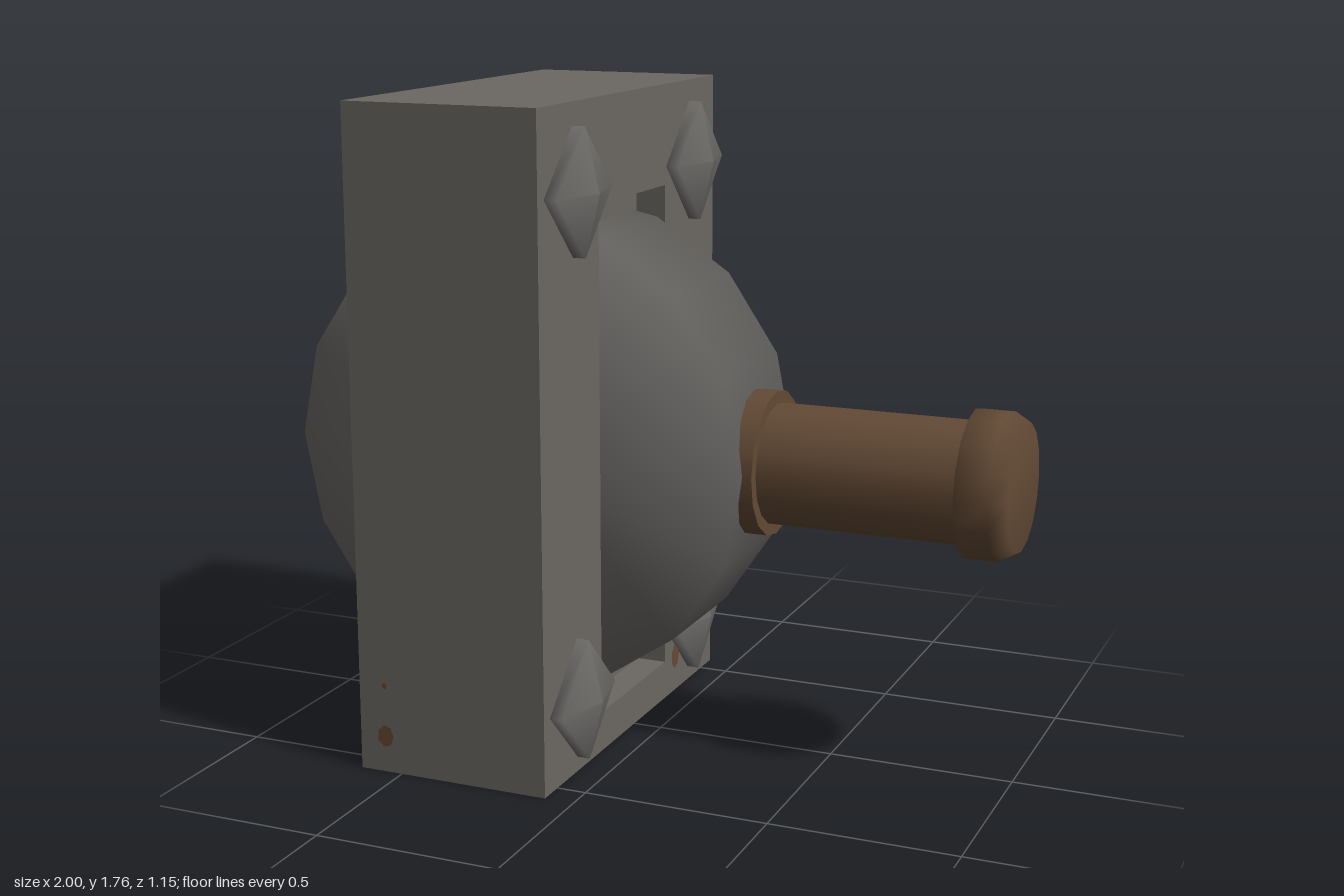
import * as THREE from 'three';
import { mergeVertices } from 'three/addons/utils/BufferGeometryUtils.js';

const mat = (name, color, side = THREE.FrontSide) => {
  const m = new THREE.MeshStandardMaterial({ color, side });
  m.name = name;
  return m;
};

// A box that keeps only some faces (0..5 = +x, -x, +y, -y, +z, -z)
function openBox(x0, x1, y0, y1, halfZ, faces) {
  const g = new THREE.BoxGeometry(x1 - x0, y1 - y0, halfZ * 2);
  const all = Array.from(g.index.array);
  g.setIndex(faces.flatMap((f) => all.slice(f * 6, f * 6 + 6)));
  g.clearGroups();
  return g.translate((x0 + x1) / 2, (y0 + y1) / 2, 0);
}

// Profile of [radius, x] pairs turned around the x axis
function turned(profile, sides) {
  const pts = profile.map(([r, x]) => new THREE.Vector2(r, x));
  return new THREE.LatheGeometry(pts, sides).rotateZ(-Math.PI / 2);
}

function rect(shape, x0, x1, y0, y1) {
  shape.moveTo(x0, y0);
  shape.lineTo(x1, y0);
  shape.lineTo(x1, y1);
  shape.lineTo(x0, y1);
  shape.closePath();
  return shape;
}

export function createModel() {
  const model = new THREE.Group();
  const casing = mat('casing grey', 0x6b6762, THREE.DoubleSide);
  const steel = mat('steel grey', 0x6b6966);
  const brown = mat('rusty brown', 0x634a35);
  const spotMat = mat('rust spot', 0x664a33, THREE.DoubleSide);

  const add = (name, geometry, material, x = 0, y = 0, z = 0) => {
    const mesh = new THREE.Mesh(geometry, material);
    mesh.name = name;
    mesh.position.set(x, y, z);
    model.add(mesh);
    return mesh;
  };

  // Thin casing, open at the back, with a slotted face plate
  const back = -0.62, face = -0.08, top = 1.765, halfZ = 0.575;
  add('casingWalls', openBox(back, face, 0, top, halfZ, [2, 3, 4, 5]), casing);
  const plate = rect(new THREE.Shape(), -halfZ, halfZ, 0, top);
  plate.holes.push(rect(new THREE.Path(), -0.22, 0.22, 0.11, 1.49));
  add('facePlate', new THREE.ShapeGeometry(plate).rotateY(Math.PI / 2), casing, face);

  // Shallow recess around the wheel
  add('slotRecess', openBox(-0.165, face, 0.11, 1.49, 0.22, [1, 2, 3, 4, 5]), casing);

  // Wheel with soft shading over its rim
  let wheel = new THREE.CylinderGeometry(0.655, 0.655, 0.395, 16).rotateX(Math.PI / 2);
  wheel.deleteAttribute('uv');
  wheel.deleteAttribute('normal');
  wheel = mergeVertices(wheel);
  wheel.computeVertexNormals();
  add('wheel', wheel, steel, -0.345, 0.8, 0);

  // Four-sided bolts with pointed heads
  const bolt = turned([[0.165, 0], [0.165, 0.035], [0, 0.075]], 4);
  for (const y of [0.205, 1.54]) {
    for (const z of [0.375, -0.393]) add('bolt', bolt, steel, face, y, z);
  }

  // Lever handle: collar, rod and knob
  const axisY = 0.797;
  add('leverCollar', new THREE.CylinderGeometry(0.195, 0.195, 0.115, 16).rotateZ(-Math.PI / 2), brown, 0.2775, axisY);
  add('leverRod', new THREE.CylinderGeometry(0.163, 0.163, 0.6, 16, 1, true).rotateZ(-Math.PI / 2), brown, 0.58, axisY);
  add('leverKnob', turned([[0.155, 0.866], [0.195, 0.868], [0.195, 0.955], [0.168, 1], [0, 1]], 16), brown, 0, axisY);

  // Small rust spots
  const spot = (r, x, y, z, ry, rx = 0) => {
    const m = add('rustSpot', new THREE.CircleGeometry(r, 7), spotMat, x, y, z);
    m.rotation.set(rx, ry, 0);
    m.scale.y = 1.3;
  };
  spot(0.024, -0.545, 0.1, halfZ + 0.002, 0);
  spot(0.007, -0.545, 0.24, halfZ + 0.002, 0);
  spot(0.028, face + 0.002, 0.105, -0.293, Math.PI / 2);

  return model;
}
